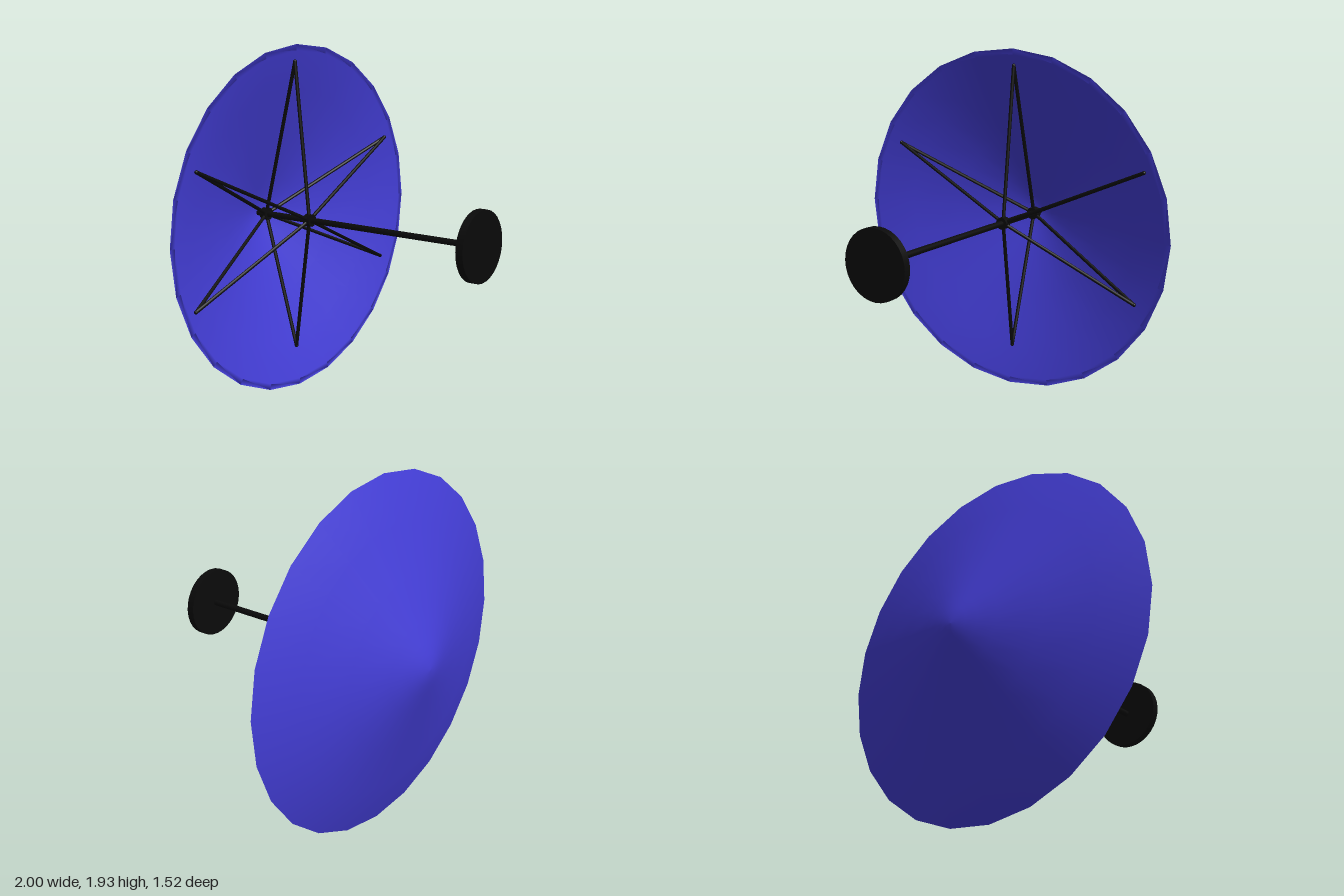
import * as THREE from 'three';

const CENTER_Y = 0.967;
const blue = new THREE.MeshStandardMaterial({ color: 0x443ed8, side: THREE.DoubleSide });
const black = new THREE.MeshStandardMaterial({ color: 0x0a0a0a });

function add(parent, name, geometry, material) {
  const mesh = new THREE.Mesh(geometry, material);
  mesh.name = name;
  parent.add(mesh);
  return mesh;
}

// Cylinder lying along z, between two depths
function axial(radius, z0, z1, sides) {
  return new THREE.CylinderGeometry(radius, radius, z1 - z0, sides)
    .rotateX(Math.PI / 2).translate(0, 0, (z0 + z1) / 2);
}

// Thin straight rod between two points
function rod(parent, name, a, b, radius) {
  const dir = b.clone().sub(a);
  const mesh = add(parent, name, new THREE.CylinderGeometry(radius, radius, dir.length(), 8), black);
  mesh.position.copy(a).add(b).multiplyScalar(0.5);
  mesh.quaternion.setFromUnitVectors(new THREE.Vector3(0, 1, 0), dir.normalize());
}

export function createModel() {
  const model = new THREE.Group();
  model.name = 'umbrella';
  const body = new THREE.Group();
  body.name = 'umbrellaBody';
  body.position.y = CENTER_Y;
  model.add(body);

  // Canopy: shallow cone with a rounded crown, turned as a thin shell
  const outer = [[0, -0.76], [0.04, -0.757], [0.09, -0.745], [0.15, -0.727], [0.25, -0.694],
    [0.48, -0.617], [0.75, -0.528], [1, -0.445]].map(([r, z]) => new THREE.Vector2(r, z));
  const inner = outer.slice(0, -1).map(p => new THREE.Vector2(p.x, p.y + 0.012));
  inner.push(new THREE.Vector2(0.965, -0.445));
  const canopy = new THREE.LatheGeometry([...outer, ...inner.reverse()], 24);
  canopy.rotateX(Math.PI / 2).scale(1, 0.965, 1);
  add(body, 'canopy', canopy, blue);

  // Shaft and round end plate
  add(body, 'shaft', axial(0.017, -0.74, 0.73, 12), black);
  add(body, 'endPlate', axial(0.19, 0.715, 0.757, 32), black);

  // Runner and crown hubs
  const runner = new THREE.Vector3(0, 0, -0.365);
  const crown = new THREE.Vector3(0, 0, -0.68);
  for (const [name, hub] of [['runnerHub', runner], ['crownHub', crown]]) {
    add(body, name, axial(0.035, hub.z - 0.02, hub.z + 0.02, 12), black);
  }

  // Each tip is braced from both hubs
  const tips = [[0, 0.87, -0.457], [0.825, 0.365, -0.452], [0.79, -0.36, -0.455],
    [0, -0.74, -0.468], [-0.82, -0.36, -0.452], [-0.79, 0.365, -0.452]];
  for (const p of tips) {
    const tip = new THREE.Vector3(...p);
    rod(body, 'stretcher', runner, tip, 0.01);
    rod(body, 'rib', crown, tip, 0.01);
    const end = add(body, 'ribTip', new THREE.SphereGeometry(0.011, 8, 6), black);
    end.position.copy(tip);
  }
  return model;
}
